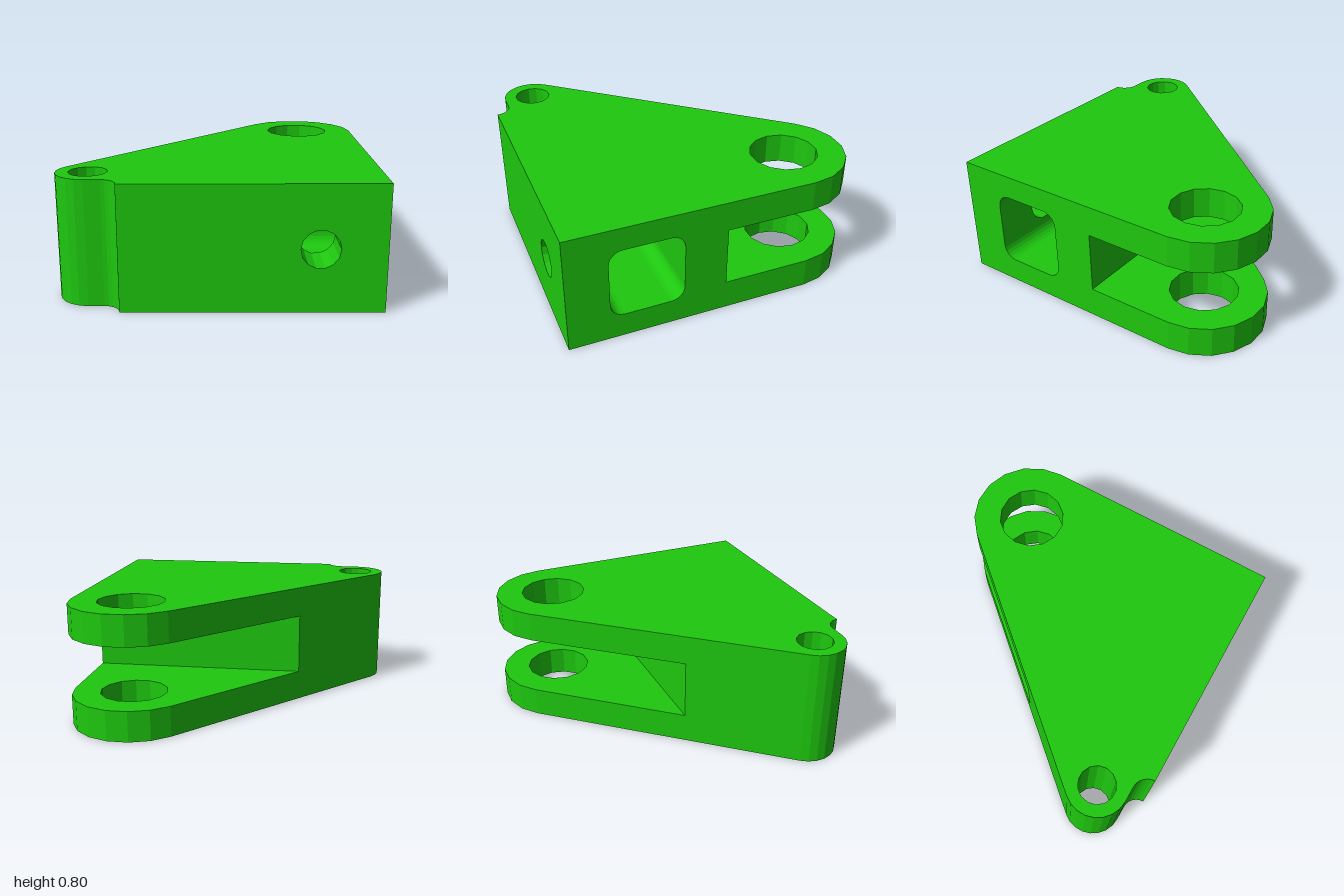
import * as THREE from 'three';

const H = 0.8, SLOT_LOW = 0.2, SLOT_HIGH = 0.6, SLOT_Z = -0.03;
const BIG = { x: 0.6, z: -0.606, r: 0.4, bore: 0.22 };
const SMALL = { x: -0.8, z: 0.7, r: 0.2, bore: 0.12 };
const BOLT = { x: 0.6, y: 0.4, r: 0.12 };
const POCKET = { z: 0.49, y: 0.405, half: 0.24, corner: 0.09, end: 0.2 };

// Points along an arc, angles in radians
function arc(cx, cy, r, from, to, n) {
  return Array.from({ length: n + 1 }, (_, i) => {
    const a = from + (to - from) * i / n;
    return [cx + r * Math.cos(a), cy + r * Math.sin(a)];
  });
}
const circle = (cx, cy, r) => arc(cx, cy, r, 0, Math.PI * 2, 14);

// Flat-shaded strip between two matching rows of 3D points
function strip(rowA, rowB) {
  const pos = [];
  for (let i = 0; i + 1 < rowA.length; i++) {
    const a = rowA[i], b = rowA[i + 1], c = rowB[i + 1], d = rowB[i];
    pos.push(...a, ...b, ...c, ...a, ...c, ...d);
  }
  const g = new THREE.BufferGeometry();
  g.setAttribute('position', new THREE.Float32BufferAttribute(pos, 3));
  g.computeVertexNormals();
  return g;
}
// Upright wall along a plan contour of [x, z] points
const wall = (pts, y0, y1) =>
  strip(pts.map(([x, z]) => [x, y0, z]), pts.map(([x, z]) => [x, y1, z]));

// Flat face in the xy plane, with holes
function face(pts, holes = []) {
  const toVec = list => list.map(([x, y]) => new THREE.Vector2(x, y));
  const s = new THREE.Shape(toVec(pts));
  holes.forEach(h => s.holes.push(new THREE.Path(toVec(h))));
  return new THREE.ShapeGeometry(s);
}
// Turns a face to look the other way
function flip(g) {
  const ix = g.index.array;
  for (let i = 0; i < ix.length; i += 3) [ix[i], ix[i + 1]] = [ix[i + 1], ix[i]];
  g.computeVertexNormals();
  return g;
}
// Level face from [x, z] points
function level(pts, holes, y, up) {
  const neg = list => list.map(([x, z]) => [x, -z]);
  const g = face(neg(pts), holes.map(neg)).rotateX(-Math.PI / 2).translate(0, y, 0);
  return up ? g : flip(g);
}

export function createModel() {
  const group = new THREE.Group();
  const material = new THREE.MeshStandardMaterial({ color: 0x1ec80f });
  const add = (name, geometry) => {
    const m = new THREE.Mesh(geometry, material);
    m.name = name;
    group.add(m);
  };

  // Common tangent of the two rounded ends
  const dx = SMALL.x - BIG.x, dz = SMALL.z - BIG.z;
  const tangent = Math.atan2(dz, dx) + Math.acos((BIG.r - SMALL.r) / Math.hypot(dx, dz)) - Math.PI * 2;
  const nx = Math.cos(tangent), nz = Math.sin(tangent);
  const slotX = (nx * BIG.x + nz * BIG.z + BIG.r - nz * SLOT_Z) / nx;

  // Plan contours: forked rear and solid front
  const rear = [[1, SLOT_Z], ...arc(BIG.x, BIG.z, BIG.r, 0, tangent, 7), [slotX, SLOT_Z]];
  const front = [[slotX, SLOT_Z],
    ...arc(SMALL.x, SMALL.z, SMALL.r, tangent, -Math.PI * 1.5, 8),
    ...arc(-0.7, 1, 0.1, -Math.PI / 2, 0, 6)];
  const outline = [...rear, ...front.slice(1), [1, 1]];
  const bigHole = circle(BIG.x, BIG.z, BIG.bore);
  const smallHole = circle(SMALL.x, SMALL.z, SMALL.bore);

  // Outer skin
  add('topFace', level(outline, [bigHole, smallHole], H, true));
  add('bottomFace', level(outline, [bigHole, smallHole], 0, false));
  add('slantedWall', wall(front, 0, H));
  add('smallBore', wall(smallHole, 0, H));

  // Two fork lugs with their bores
  for (const [name, y0, y1] of [['lowerLug', 0, SLOT_LOW], ['upperLug', SLOT_HIGH, H]]) {
    add(name + 'Rim', wall(rear, y0, y1));
    add(name + 'Bore', wall(bigHole, y0, y1));
  }
  // Slot between the lugs
  add('slotFloor', level(rear, [bigHole], SLOT_LOW, true));
  add('slotCeiling', level(rear, [bigHole], SLOT_HIGH, false));
  add('slotEnd', wall([[1, SLOT_Z], [slotX, SLOT_Z]], SLOT_LOW, SLOT_HIGH));

  // Front wall with bolt hole
  const boltHole = circle(BOLT.x, BOLT.y, BOLT.r);
  const pocketFront = POCKET.z + POCKET.half;
  add('frontWall', face([[-0.6, 0], [1, 0], [1, H], [-0.6, H]], [boltHole]).translate(0, 0, 1));
  add('boltHole', strip(boltHole.map(([x, y]) => [x, y, 1]),
    boltHole.map(([x, y]) => [x, y, pocketFront])));

  // Side wall with rounded square pocket, drawn in (-z, y)
  const inset = POCKET.half - POCKET.corner;
  const corners = [[-1, -1], [1, -1], [1, 1], [-1, 1]];
  const pocket = corners.flatMap(([sx, sy], i) => arc(-POCKET.z + sx * inset, POCKET.y + sy * inset,
    POCKET.corner, Math.PI * (1 + i / 2), Math.PI * (1.5 + i / 2), 6));
  add('sideWall', face([[-1, 0], [-SLOT_Z, 0], [-SLOT_Z, H], [-1, H]], [pocket])
    .rotateY(Math.PI / 2).translate(1, 0, 0));
  add('pocketWalls', strip(pocket.map(([u, y]) => [1, y, -u]),
    pocket.map(([u, y]) => [POCKET.end, y, -u])));
  add('pocketEnd', face(pocket).rotateY(Math.PI / 2).translate(POCKET.end, 0, 0));
  const low = POCKET.y - inset, high = POCKET.y + inset;
  add('pocketFrontWall', flip(face([[POCKET.end, low], [1, low], [1, high], [POCKET.end, high]], [boltHole])
    .translate(0, 0, pocketFront)));

  return group;
}
